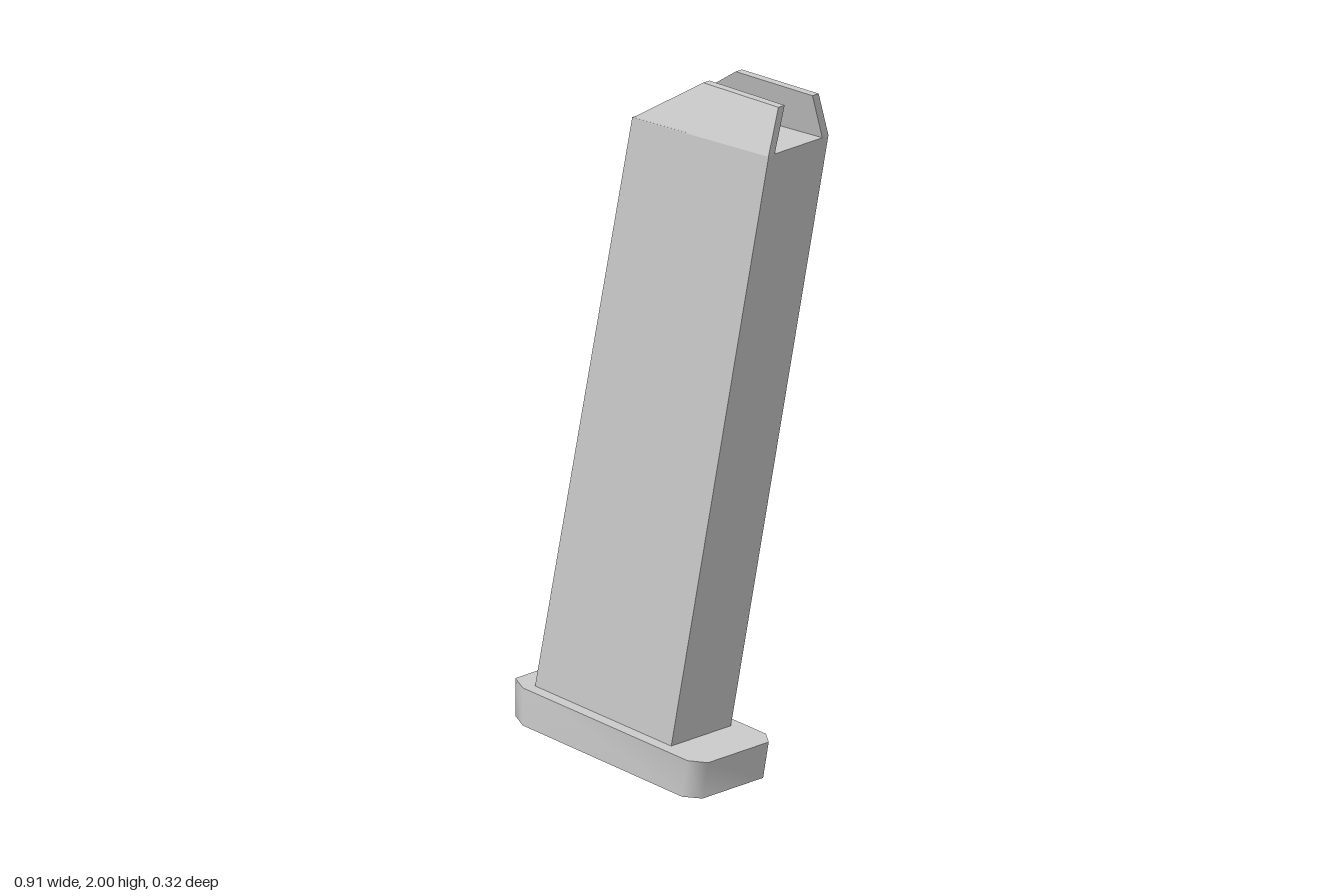
import * as THREE from 'three';
import { toCreasedNormals } from 'three/addons/utils/BufferGeometryUtils.js';

const material = new THREE.MeshStandardMaterial({ color: 0xcccccc });

// Extrudes a polygon, then moves every vertex by a rule
function extrude(points, depth, rule) {
  const shape = new THREE.Shape(points.map(([x, y]) => new THREE.Vector2(x, y)));
  const geometry = new THREE.ExtrudeGeometry(shape, { depth, bevelEnabled: false });
  const position = geometry.attributes.position;
  const v = new THREE.Vector3();
  for (let i = 0; i < position.count; i++) {
    rule(v.fromBufferAttribute(position, i));
    position.setXYZ(i, v.x, v.y, v.z);
  }
  geometry.computeVertexNormals();
  return geometry;
}

export function createModel() {
  const group = new THREE.Group();
  const add = (name, geometry) => {
    const mesh = new THREE.Mesh(geometry, material);
    mesh.name = name;
    group.add(mesh);
  };

  // Slanted body, its foot sunk slightly into the base plate
  const body = [[-0.397, 0.155], [0.095, 0.095], [0.452, 1.862], [-0.04, 1.866]];
  add('body', extrude(body, 0.24, (v) => { v.z -= 0.12; }));

  // Two feed lips leaning inward
  const lip = [[-0.04, 1.864], [0.452, 1.86], [0.452, 1.99], [0.178, 2.0]];
  for (const side of [1, -1]) {
    add(side > 0 ? 'frontLip' : 'backLip', extrude(lip, 0.025, (v) => {
      v.z += side * (0.1075 - (v.y - 1.864) * 0.31) - 0.0125;
    }));
  }

  // Tilted base plate with chamfered corners; outline is drawn in x and z
  const half = [[-0.457, 0.125], [-0.4, 0.158], [0.193, 0.158], [0.235, 0.122]];
  const outline = [...half.map(([x, z]) => [x, -z]), ...half.slice().reverse()];
  const plate = extrude(outline, 1, (v) => {
    const along = v.x + 0.457;
    const top = v.z > 0.5;
    const y = top ? 0.196 - along * 0.131 : 0.09 - along * 0.131;
    const x = !top && v.x > 0 ? v.x - 0.02 : v.x;
    v.set(x, top ? y : Math.max(y, 0), -v.y);
  });
  add('basePlate', toCreasedNormals(plate, 1.1));

  return group;
}
